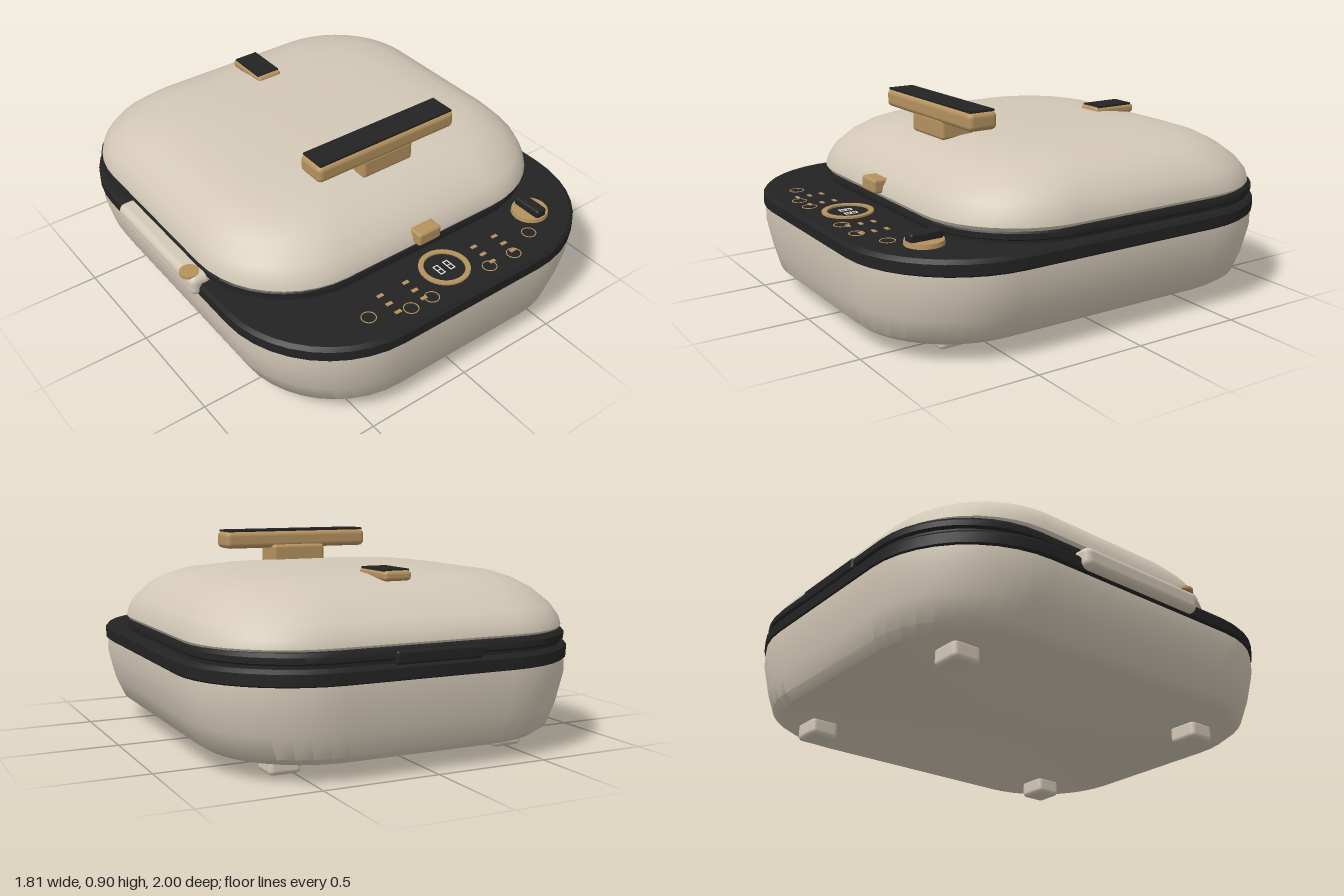
import * as THREE from 'three';
import { toCreasedNormals } from 'three/addons/utils/BufferGeometryUtils.js';
import { RoundedBoxGeometry } from 'three/addons/geometries/RoundedBoxGeometry.js';

const mat = (name, color) => {
  const m = new THREE.MeshStandardMaterial({ color });
  m.name = name;
  return m;
};

// Loft through rounded-rectangle rings: [y, halfX, halfZ, cornerRadius, centreZ]
function loft(rings, seg = 10) {
  const pos = [], idx = [], n = 4 * (seg + 1);
  for (const [y, hx, hz, r, cz = 0] of rings) {
    for (let q = 0; q < 4; q++) {
      const sx = q === 0 || q === 3 ? 1 : -1, sz = q < 2 ? 1 : -1;
      for (let k = 0; k <= seg; k++) {
        const a = (q + k / seg) * Math.PI / 2;
        pos.push(sx * (hx - r) + r * Math.cos(a), y, cz + sz * (hz - r) + r * Math.sin(a));
      }
    }
  }
  for (let i = 0; i < rings.length - 1; i++) {
    for (let j = 0; j < n; j++) {
      const a = i * n + j, b = i * n + (j + 1) % n, c = a + n, d = b + n;
      idx.push(a, c, b, b, c, d);
    }
  }
  // Bottom and top caps
  const last = rings.length - 1, lo = pos.length / 3, hi = lo + 1;
  pos.push(0, rings[0][0], rings[0][4] || 0, 0, rings[last][0], rings[last][4] || 0);
  for (let j = 0; j < n; j++) {
    const k = (j + 1) % n;
    idx.push(lo, j, k, hi, last * n + k, last * n + j);
  }
  const g = new THREE.BufferGeometry();
  g.setAttribute('position', new THREE.Float32BufferAttribute(pos, 3));
  g.setIndex(idx);
  return toCreasedNormals(g, 0.65);
}

export function createModel() {
  const group = new THREE.Group();
  const cream = mat('cream shell', 0xd3c8b7);
  const black = mat('black trim', 0x232323);
  const gold = mat('brass accents', 0xb5925f);
  const white = mat('display digits', 0xe6e4de);

  const CX = 0.02; // the shell sits slightly off centre, balancing the side grip
  const add = (name, geo, material, x = 0, y = 0, z = 0) => {
    const m = new THREE.Mesh(geo, material);
    m.name = name;
    m.position.set(x, y, z);
    group.add(m);
    return m;
  };
  // Box given by its extents, with rounded edges when r > 0
  const box = (name, material, x0, x1, y0, y1, z0, z1, r = 0) => {
    const s = [x1 - x0, y1 - y0, z1 - z0];
    const g = r ? new RoundedBoxGeometry(...s, 3, r) : new THREE.BoxGeometry(...s);
    return add(name, g, material, (x0 + x1) / 2, (y0 + y1) / 2, (z0 + z1) / 2);
  };

  // Lower shell and its dark rim
  add('baseShell', loft([
    [0.075, 0.75, 0.915, 0.42], [0.105, 0.795, 0.95, 0.45], [0.2, 0.84, 0.972, 0.48],
    [0.32, 0.87, 0.994, 0.5], [0.395, 0.868, 0.994, 0.5],
  ]), cream, CX);
  add('baseRim', loft([
    [0.385, 0.868, 0.988, 0.5], [0.395, 0.88, 1, 0.51], [0.44, 0.88, 1, 0.51],
    [0.456, 0.866, 0.986, 0.5],
  ]), black, CX);

  // Dark lid gasket with a shallow groove
  add('lidGasket', loft([
    [0.45, 0.835, 0.815, 0.45, -0.16], [0.468, 0.835, 0.815, 0.45, -0.16],
    [0.476, 0.845, 0.825, 0.45, -0.16], [0.5, 0.845, 0.825, 0.45, -0.16],
    [0.516, 0.835, 0.815, 0.45, -0.16],
  ]), black, CX);
  box('rearHinge', black, -0.2, 0.19, 0.45, 0.505, -0.998, -0.93, 0.012);

  // Domed lid
  add('lid', loft([
    [0.508, 0.835, 0.802, 0.43, -0.14], [0.525, 0.848, 0.813, 0.44, -0.14],
    [0.56, 0.842, 0.805, 0.44, -0.14], [0.61, 0.818, 0.768, 0.42, -0.135],
    [0.67, 0.765, 0.7, 0.4, -0.13], [0.71, 0.705, 0.63, 0.37, -0.128],
    [0.737, 0.635, 0.555, 0.34, -0.125], [0.756, 0.5, 0.44, 0.29, -0.12],
    [0.765, 0.33, 0.3, 0.2, -0.12], [0.768, 0.12, 0.12, 0.08, -0.12],
  ]), cream, CX);

  // Lid handle
  box('handleNeck', gold, -0.11, 0.155, 0.74, 0.83, 0.255, 0.415, 0.015);
  box('handleBar', gold, -0.345, 0.385, 0.815, 0.895, 0.28, 0.42, 0.024);
  box('handleTopPlate', black, -0.332, 0.373, 0.893, 0.902, 0.29, 0.41);

  // Front latch and rear lid vent
  box('frontLatch', gold, -0.04, 0.08, 0.53, 0.592, 0.62, 0.708, 0.012);
  box('lidVent', gold, -0.043, 0.083, 0.735, 0.777, -0.703, -0.473, 0.016);
  box('lidVentPlate', black, -0.037, 0.077, 0.774, 0.783, -0.685, -0.49);

  // Feet
  for (const x of [-0.5, 0.54]) {
    for (const z of [0.635, -0.685]) {
      box('foot', cream, x - 0.07, x + 0.07, 0.005, 0.09, z - 0.065, z + 0.065, 0.022);
    }
  }

  // Side grip along the right edge, with a brass button
  box('sideGrip', cream, -0.895, -0.79, 0.395, 0.492, -0.36, 0.285, 0.032);
  add('sideGripButton', new THREE.CylinderGeometry(0.042, 0.042, 0.012, 24), gold, -0.868, 0.487, 0.222);

  // Control panel: flat rings and marks
  const ring = (name, x, z, inner, outer, h) => {
    const s = new THREE.Shape().absarc(0, 0, outer, 0, Math.PI * 2);
    s.holes.push(new THREE.Path().absarc(0, 0, inner, 0, Math.PI * 2, true));
    const g = new THREE.ExtrudeGeometry(s, { depth: h, bevelEnabled: false, curveSegments: 24 });
    g.rotateX(-Math.PI / 2);
    add(name, g, gold, x, 0.455, z);
  };
  ring('displayRing', CX, 0.805, 0.088, 0.11, 0.009);
  for (const [dx, z] of [[0.12, 0.91], [0.165, 0.91], [0.16, 0.91], [0.3, 0.91]].slice(2)) {
    ring('touchKey', CX + dx, z, 0.029, 0.033, 0.003);
  }
  for (const [x, z] of [[-0.42, 0.85], [-0.25, 0.91], [-0.14, 0.91], [0.47, 0.85]]) {
    ring('touchKey', x, z, 0.029, 0.033, 0.003);
  }
  for (const x of [-0.305, -0.17, 0.21, 0.33]) {
    for (const z of [0.78, 0.838, 0.895]) {
      box('indicatorMark', gold, x - 0.015, x + 0.015, 0.454, 0.459, z - 0.008, z + 0.008);
    }
  }

  // Two display digits made of thin segments
  for (const x of [-0.007, 0.047]) {
    for (const dz of [-0.026, 0, 0.026]) {
      box('digitBar', white, x - 0.013, x + 0.013, 0.454, 0.459, 0.803 + dz - 0.002, 0.803 + dz + 0.002);
    }
    for (const dx of [-0.011, 0.011]) {
      box('digitSide', white, x + dx - 0.002, x + dx + 0.002, 0.454, 0.459, 0.777, 0.829);
    }
  }

  // Rotary dial
  add('dialBase', new THREE.CylinderGeometry(0.08, 0.083, 0.022, 40), gold, 0.577, 0.464, 0.747);
  box('dialGrip', black, 0.549, 0.605, 0.465, 0.51, 0.675, 0.82, 0.012);

  return group;
}
